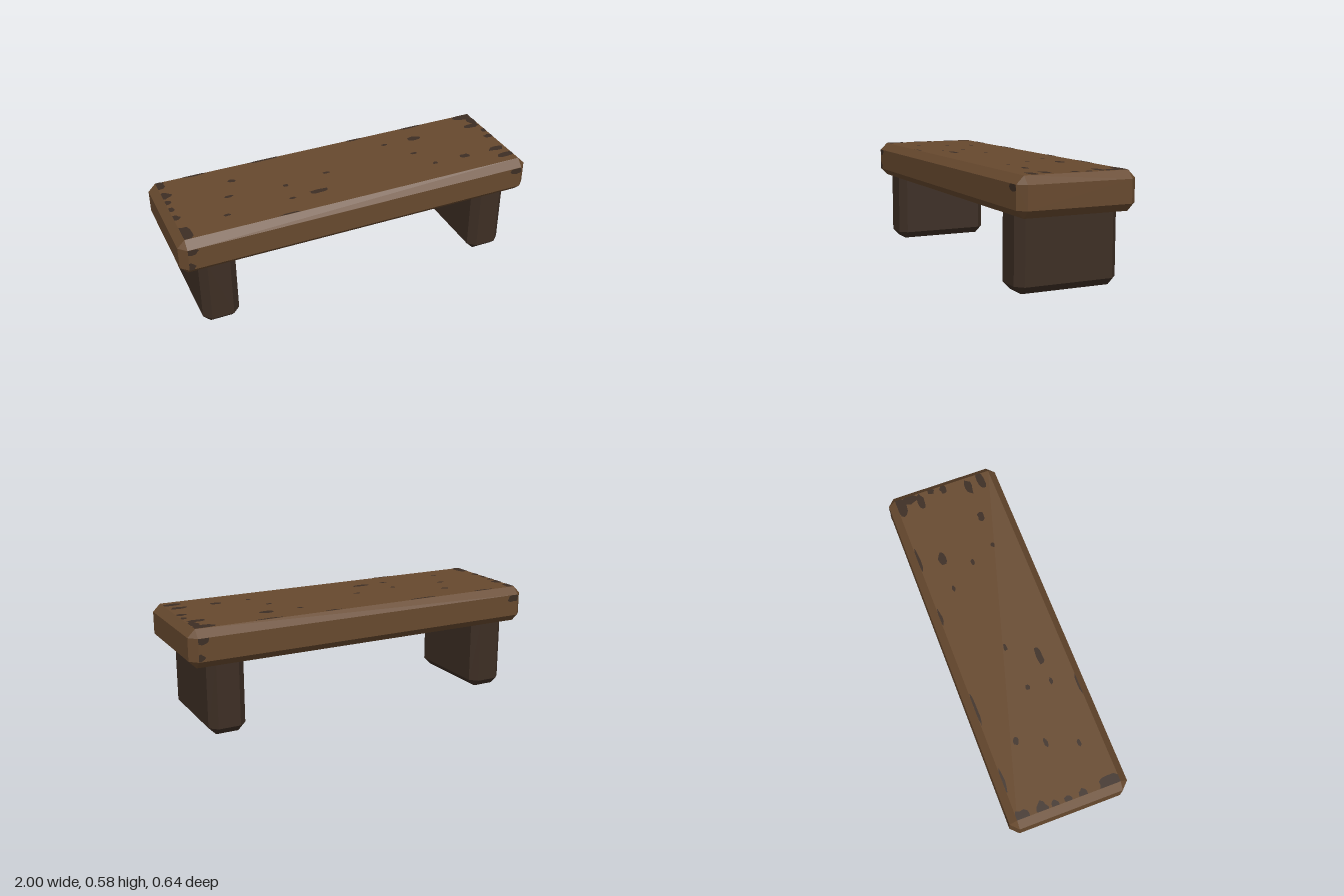
import * as THREE from 'three';
import { ConvexGeometry } from 'three/addons/geometries/ConvexGeometry.js';

const mat = (name, color) => new THREE.MeshStandardMaterial({ name, color });

// Box with every edge cut at 45 degrees, flat faced
function chamferBox(w, h, d, c) {
  const pts = [];
  for (const x of [-1, 1]) for (const y of [-1, 1]) for (const z of [-1, 1]) {
    for (const [a, b, e] of [[0, c, c], [c, 0, c], [c, c, 0]]) {
      pts.push(new THREE.Vector3(x * (w / 2 - a), y * (h / 2 - b), z * (d / 2 - e)));
    }
  }
  return new ConvexGeometry(pts);
}

export function createModel() {
  const group = new THREE.Group();
  const wood = mat('warm brown wood', 0x67492e);
  const darkWood = mat('dark brown wood', 0x3d2e24);
  const grey = mat('light grey', 0xc8c8c8);

  const add = (name, geo, material, x, y, z, parent = group) => {
    const m = new THREE.Mesh(geo, material);
    m.name = name;
    m.position.set(x, y, z);
    parent.add(m);
    return m;
  };

  // Seat slab and two slab legs reaching up into it
  add('seat', chamferBox(2, 0.2, 0.64, 0.04), wood, 0, 0.48, 0);
  for (const s of [-1, 1]) {
    add(s > 0 ? 'leftLeg' : 'rightLeg', chamferBox(0.2, 0.44, 0.56, 0.04), darkWood, s * 0.8, 0.22, 0);
  }

  // Small block under the seat
  add('underBlock', new THREE.BoxGeometry(0.08, 0.08, 0.08), grey, 0.6, 0.38, -0.12);

  // Worn patches: ragged thin shapes trimmed to the flat face they lie on
  let seed = 7;
  const rand = () => (seed = (seed * 16807) % 2147483647) / 2147483647;
  const wear = (list, halfW, halfH) => {
    const shapes = list.map(([cx, cy, rx, ry]) => {
      const pts = [];
      for (let i = 0; i < 12; i++) {
        const a = (i / 12) * Math.PI * 2, r = 0.8 + 0.4 * rand();
        pts.push(new THREE.Vector2(
          THREE.MathUtils.clamp(cx + Math.cos(a) * rx * r, -halfW, halfW),
          THREE.MathUtils.clamp(cy + Math.sin(a) * ry * r, -halfH, halfH)));
      }
      return new THREE.Shape(pts);
    });
    return new THREE.ShapeGeometry(shapes);
  };

  // Top: edge wear at both ends, then scattered flecks (x, -z, radii)
  const top = [
    [-0.95, 0.25, 0.035, 0.04], [-0.95, 0.14, 0.04, 0.03], [-0.95, 0.07, 0.02, 0.02],
    [-0.95, 0, 0.02, 0.02], [-0.95, -0.08, 0.025, 0.025], [-0.94, -0.23, 0.035, 0.06],
    [0.92, 0.26, 0.08, 0.03], [0.94, 0.2, 0.03, 0.05], [0.9, 0.14, 0.05, 0.02],
    [0.95, 0.07, 0.02, 0.02], [0.94, 0, 0.03, 0.02], [0.9, -0.14, 0.05, 0.02],
    [0.92, -0.22, 0.06, 0.02], [-0.58, 0.14, 0.02, 0.015], [-0.64, 0, 0.025, 0.01],
    [-0.7, -0.16, 0.02, 0.01], [-0.33, -0.02, 0.015, 0.012], [-0.34, -0.15, 0.02, 0.01],
    [-0.19, -0.14, 0.05, 0.018], [-0.08, 0.01, 0.02, 0.01], [0.34, 0.15, 0.02, 0.01],
    [0.53, 0.15, 0.04, 0.02], [0.45, 0, 0.018, 0.01], [0.51, -0.14, 0.015, 0.01],
    [0.7, -0.14, 0.03, 0.018], [0.56, 0.275, 0.07, 0.01], [0.2, 0.275, 0.05, 0.01],
    [-0.35, 0.275, 0.08, 0.01], [-0.75, 0.275, 0.06, 0.01], [-0.4, -0.278, 0.06, 0.008],
  ];
  add('topWear', wear(top, 0.96, 0.28), darkWood, 0, 0.5815, 0).rotation.x = -Math.PI / 2;

  // Front and back: worn corners
  const side = [[-0.94, 0.05, 0.035, 0.02], [-0.95, -0.04, 0.025, 0.02], [0.93, 0.045, 0.04, 0.025]];
  add('frontWear', wear(side, 0.96, 0.06), darkWood, 0, 0.48, 0.3215);
  add('backWear', wear(side, 0.96, 0.06), darkWood, 0, 0.48, -0.3215).rotation.y = Math.PI;

  return group;
}
